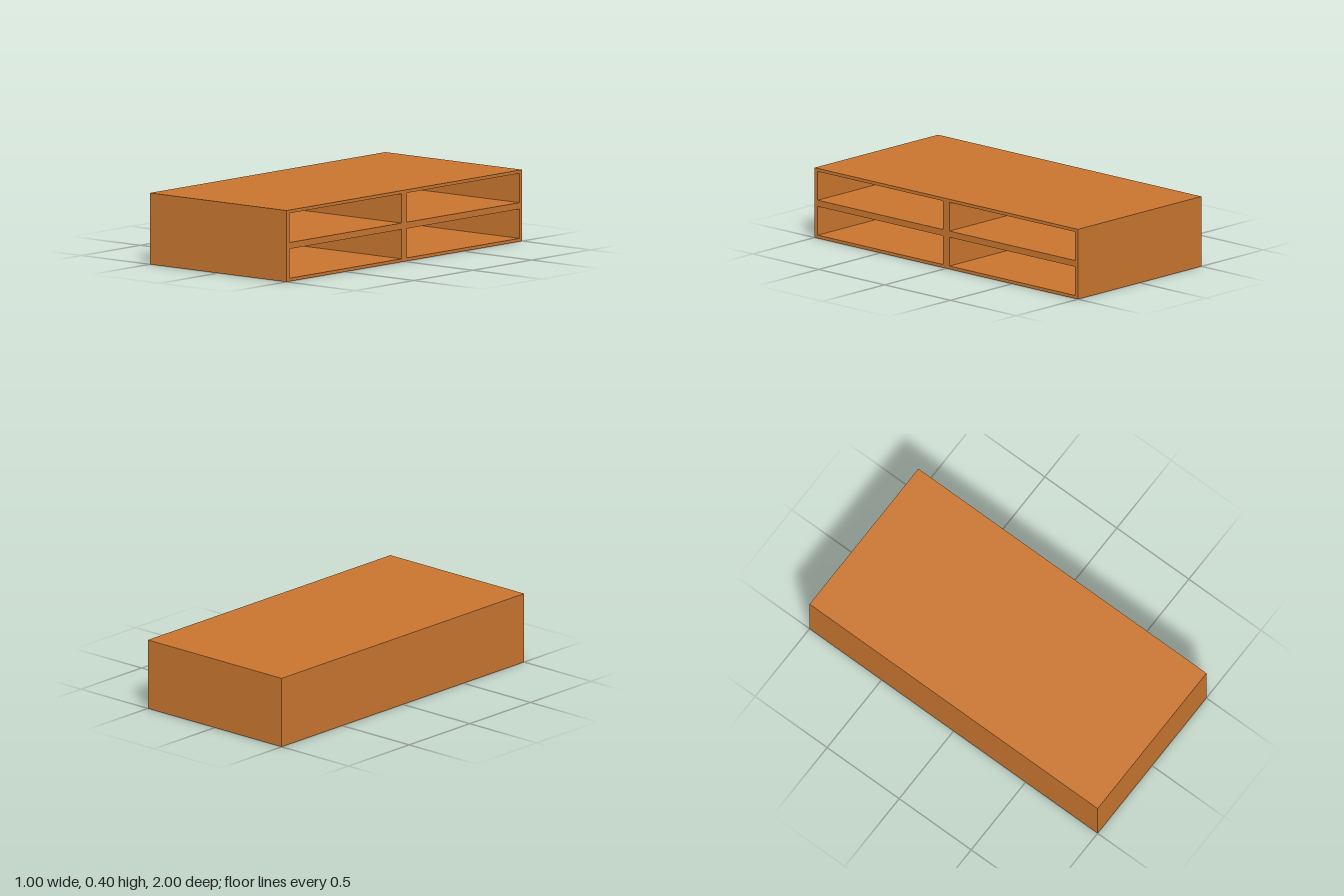
import * as THREE from 'three';

export function createModel() {
  const group = new THREE.Group();
  group.name = 'cabinet';
  const material = new THREE.MeshStandardMaterial({ color: 0xc8752f });

  const width = 1, height = 0.4, length = 2, back = 0.02;
  const wallY = 0.018, wallZ = 0.024; // wall thickness around every compartment

  function rect(path, x0, y0, x1, y1) {
    path.moveTo(x0, y0);
    path.lineTo(x1, y0);
    path.lineTo(x1, y1);
    path.lineTo(x0, y1);
    path.closePath();
    return path;
  }

  // Carcass: outer box with a two by two grid of open compartments
  const outline = rect(new THREE.Shape(), -length / 2, 0, length / 2, height);
  for (const z of [-length / 2, 0]) {
    for (const y of [0, height / 2]) {
      outline.holes.push(rect(new THREE.Path(), z + wallZ, y + wallY,
        z + length / 2 - wallZ, y + height / 2 - wallY));
    }
  }
  const carcassGeometry = new THREE.ExtrudeGeometry(outline, { depth: width - back, bevelEnabled: false });
  carcassGeometry.rotateY(Math.PI / 2);
  const carcass = new THREE.Mesh(carcassGeometry, material);
  carcass.name = 'carcass';
  carcass.position.x = -width / 2 + back;
  group.add(carcass);

  // Back panel closing the compartments on the -x side
  const panel = new THREE.Mesh(new THREE.BoxGeometry(back, height, length), material);
  panel.name = 'backPanel';
  panel.position.set(-width / 2 + back / 2, height / 2, 0);
  group.add(panel);

  return group;
}
